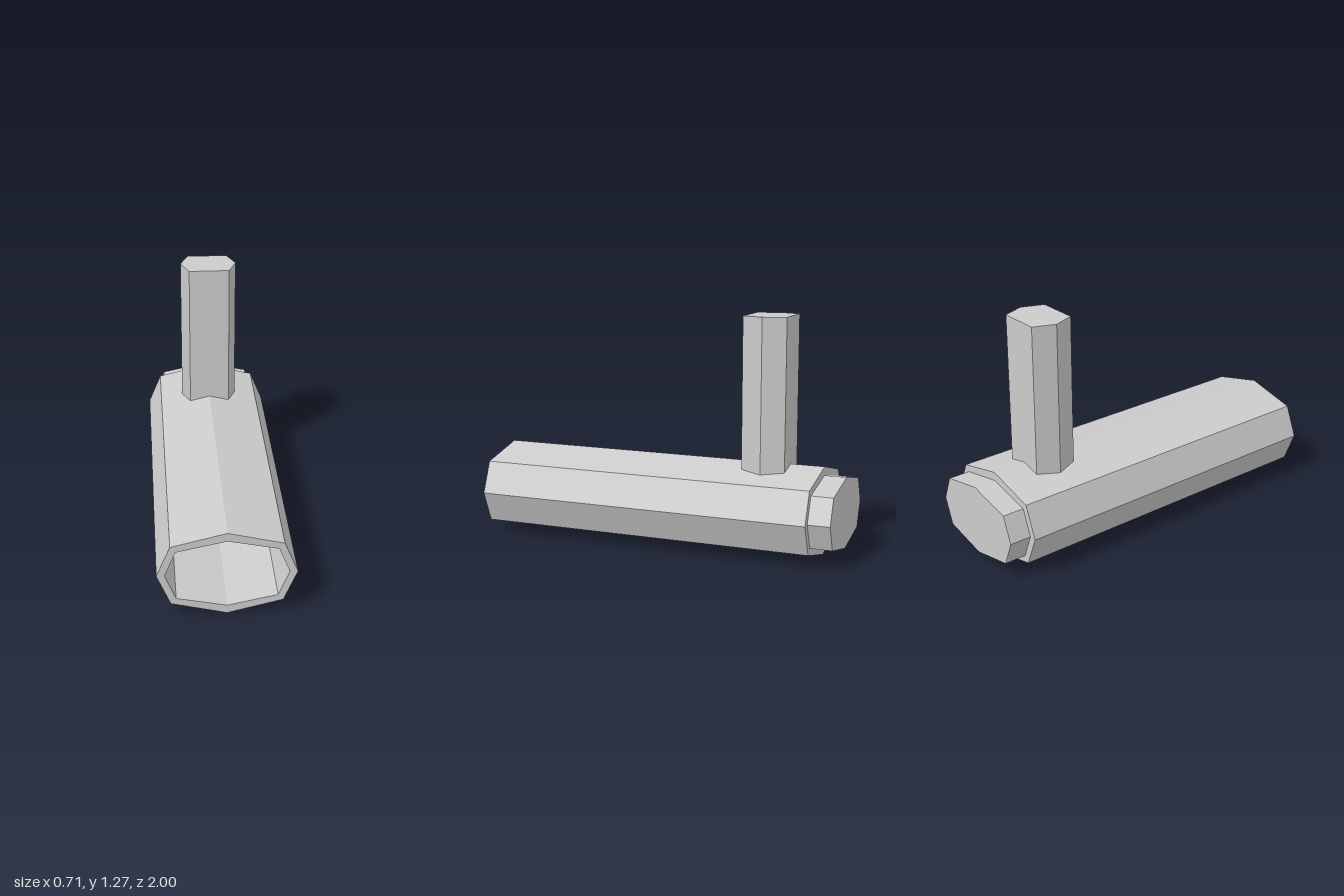
import * as THREE from 'three';

const material = new THREE.MeshStandardMaterial({ color: 0xcccccc, flatShading: true });

// Eight-sided flattened section: peak, shoulder and side, mirrored all round
function section(side, shoulderX, shoulderY, peak) {
  return [
    [side, 0], [shoulderX, shoulderY], [0, peak], [-shoulderX, shoulderY],
    [-side, 0], [-shoulderX, -shoulderY], [0, -peak], [shoulderX, -shoulderY],
  ].map(([x, y]) => new THREE.Vector2(x, y + 0.24));
}

// Straight extrusion of a shape along z
function prism(name, shape, depth, z) {
  const geometry = new THREE.ExtrudeGeometry(shape, { depth, bevelEnabled: false });
  const mesh = new THREE.Mesh(geometry, material);
  mesh.name = name;
  mesh.position.z = z;
  return mesh;
}

export function createModel() {
  const model = new THREE.Group();
  model.name = 'tubeWithPost';

  const outer = section(0.353, 0.283, 0.17, 0.24);
  const inner = section(0.312, 0.256, 0.139, 0.193);

  // Hollow barrel, open at the front
  const barrelShape = new THREE.Shape(outer);
  barrelShape.holes.push(new THREE.Path(inner));
  model.add(prism('barrel', barrelShape, 1.88, -0.88));

  // Solid plug closing the back and standing out behind the barrel
  model.add(prism('endPlug', new THREE.Shape(inner), 0.12, -1));

  // Six-sided upright post, its foot sunk into the roof of the barrel
  const hexagon = new THREE.Shape([
    [0.158, 0], [0.113, 0.12], [-0.113, 0.12], [-0.158, 0], [-0.113, -0.12], [0.113, -0.12],
  ].map(([x, y]) => new THREE.Vector2(x, y)));
  const post = prism('post', hexagon, 0.837, -0.573);
  post.rotation.x = -Math.PI / 2;
  post.position.y = 0.435;
  model.add(post);

  return model;
}
